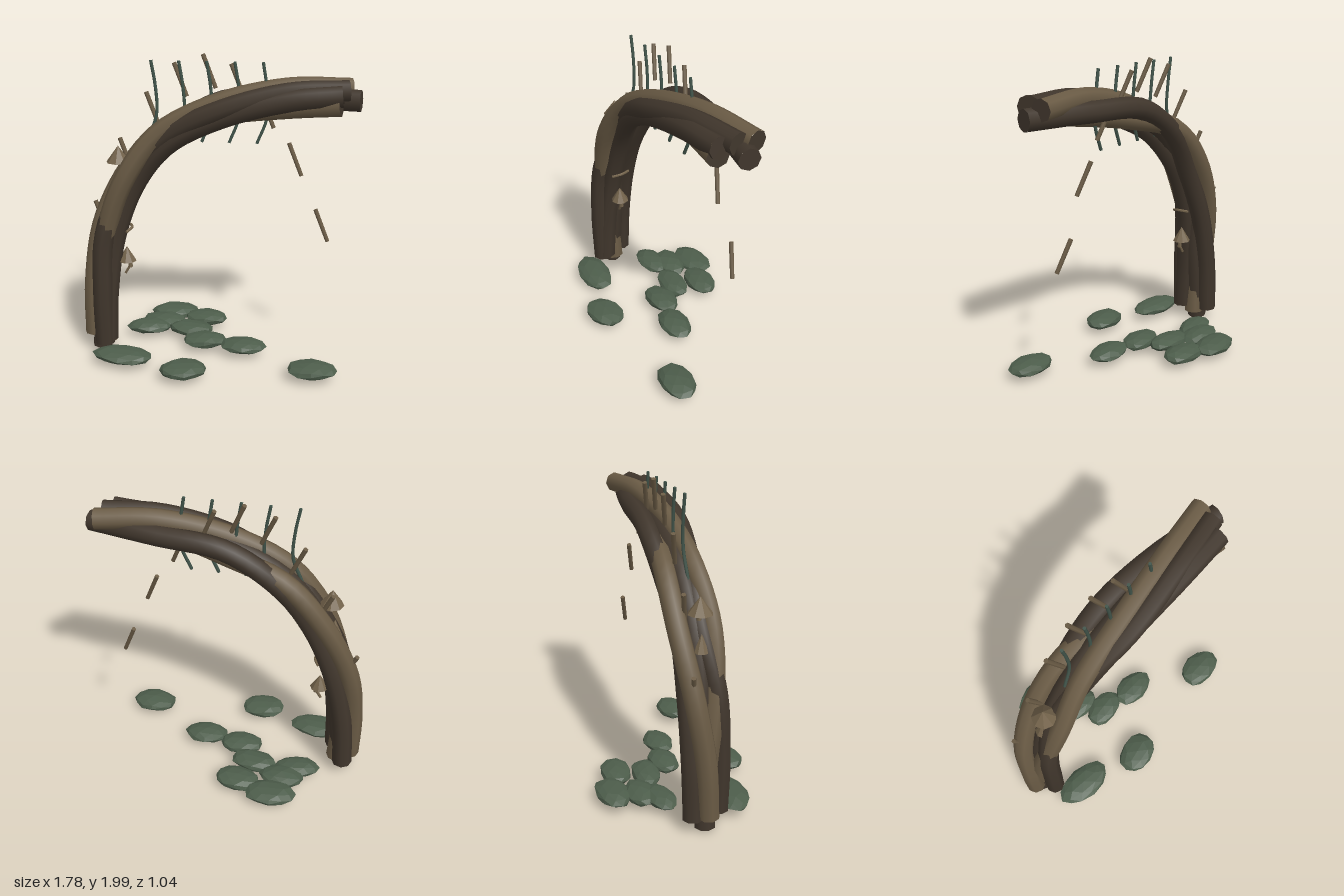
import * as THREE from 'three';

const V = (x, y, z) => new THREE.Vector3(x, y, z);

export function createModel() {
  const group = new THREE.Group();
  const mat = (name, color, flatShading = false) => {
    const m = new THREE.MeshStandardMaterial({ color, flatShading });
    m.name = name;
    return m;
  };
  const darkBark = mat('dark bark', 0x40362c);
  const lightBark = mat('light bark', 0x6a5b45);
  const stoneGreen = mat('mossy stone', 0x4d5d4b, true);
  const stemGreen = mat('stem green', 0x41544a);
  const tan = mat('mushroom tan', 0x73634b, true);

  const add = (geo, material, name, parent = group) => {
    const m = new THREE.Mesh(geo, material);
    m.name = name;
    parent.add(m);
    return m;
  };

  // Round rope through points, closed by a disc at each end
  const rope = (points, radius, sides, segments, material, name, tipMaterial = material) => {
    const part = new THREE.Group();
    part.name = name;
    const curve = new THREE.CatmullRomCurve3(points);
    add(new THREE.TubeGeometry(curve, segments, radius, sides), material, name + 'Body', part);
    for (const t of [0, 1]) {
      const cap = add(new THREE.CircleGeometry(radius, sides), t ? tipMaterial : material, name + 'End', part);
      const p = curve.getPoint(t);
      const dir = curve.getTangent(t).multiplyScalar(t ? 1 : -1);
      cap.position.copy(p);
      cap.lookAt(p.clone().add(dir));
    }
    group.add(part);
  };

  // Arch centre line, shared by all the twisted strands
  const centre = [
    [-0.76, 0.06], [-0.75, 0.45], [-0.695, 0.85], [-0.545, 1.22],
    [-0.315, 1.49], [0.03, 1.665], [0.45, 1.76], [0.83, 1.785],
  ].map(([x, y]) => V(x, y, 0));

  // out: distance towards the outside of the bend; z: depth; ends: trim along the line
  const strands = [
    { m: lightBark, ends: [0.05, -0.07],
      out: [0.06, 0.065, 0.065, 0.04, 0.025, -0.04, -0.06, -0.045],
      z: [0.04, 0.02, -0.04, -0.085, -0.08, -0.02, 0.08, 0.14] },
    { m: lightBark, ends: [0.0, 0.0],
      out: [-0.03, 0, 0, 0.015, 0.04, 0.045, 0.045, 0.015],
      z: [0.035, 0.05, 0.105, 0.13, 0.095, 0.06, 0.005, -0.055] },
    { m: darkBark, ends: [0.03, -0.02],
      out: [-0.035, -0.025, 0.005, 0.005, 0, 0.01, 0.03, 0.02],
      z: [0.135, 0.14, 0.12, 0.065, 0.09, 0.135, 0.1, 0.045] },
    { m: darkBark, ends: [0.03, 0.05],
      out: [0.02, 0, -0.035, -0.05, -0.015, 0.03, -0.025, -0.045],
      z: [-0.045, -0.05, -0.05, -0.045, -0.08, -0.09, -0.06, 0.025] },
    { m: darkBark, ends: [0.05, -0.06],
      out: [-0.05, -0.055, -0.06, -0.055, -0.045, -0.035, -0.01, 0.005],
      z: [0.11, 0.09, 0.06, 0.05, 0.09, 0.12, 0.14, 0.135] },
    // core
    { m: darkBark, ends: [-0.045, -0.05],
      out: [0.01, -0.03, -0.02, -0.01, 0, 0, -0.01, 0],
      z: [0.035, 0.03, 0.03, 0.025, 0.02, 0.02, 0.02, 0.03] },
  ];
  strands.forEach((s, k) => {
    const last = centre.length - 1;
    const points = centre.map((c, i) => {
      const t = centre[Math.min(i + 1, last)].clone().sub(centre[Math.max(i - 1, 0)]).normalize();
      const along = i === 0 ? s.ends[0] : i === last ? s.ends[1] : 0;
      return V(c.x - t.y * s.out[i] + t.x * along, c.y + t.x * s.out[i] + t.y * along, s.z[i]);
    });
    rope(points, 0.066, 8, 36, s.m, 'archStrand' + (k + 1), darkBark);
  });

  // Straight splinters, following a half circle
  const splinters = [
    [-0.76, 0.92], [-0.58, 1.35], [-0.4, 1.65], [-0.22, 1.835], [-0.04, 1.89],
    [0.135, 1.835], [0.32, 1.65], [0.5, 1.35], [0.68, 0.92],
  ];
  const tilt = V(-0.085, 0.2, -0.04).normalize();
  for (const [x, y] of splinters) {
    const s = add(new THREE.CylinderGeometry(0.015, 0.014, 0.22, 6), lightBark, 'splinter');
    s.position.set(x, y, -0.045);
    s.quaternion.setFromUnitVectors(V(0, 1, 0), tilt);
  }

  // Curved green stems through the top of the arch
  for (let i = 0; i < 5; i++) {
    const x = -0.39 + i * 0.171;
    rope([V(x, 1.96, 0.02), V(x + 0.025, 1.8, 0.02), V(x + 0.03, 1.63, 0.025), V(x - 0.03, 1.465, 0.035)],
      0.0105, 6, 12, stemGreen, 'stem');
  }

  // Cone mushrooms on the trunk: x, y of cap base, z, radius, height
  for (const [x, y, z, r, h] of [
    [-0.61, 1.32, 0.04, 0.077, 0.105],
    [-0.64, 1.1, 0.04, 0.05, 0.11],
    [-0.575, 0.65, 0.045, 0.06, 0.1],
  ]) {
    const cap = add(new THREE.ConeGeometry(r, h, 8), tan, 'mushroomCap');
    cap.position.set(x, y + h / 2, z);
    const foot = add(new THREE.CylinderGeometry(0.013, 0.015, 0.06, 6), tan, 'mushroomStalk');
    foot.position.set(x + 0.02, y - 0.015, z);
  }

  // Thin vines hanging on the inner side
  rope([V(-0.56, 0.87, 0.105), V(-0.535, 0.885, 0.045), V(-0.56, 0.88, -0.02)], 0.009, 6, 10, tan, 'vineLoop');
  rope([V(-0.575, 0.66, 0.045), V(-0.56, 0.62, 0.045), V(-0.59, 0.56, 0.045)], 0.009, 6, 10, tan, 'vineTail');

  // Flattened faceted stones: x, z, radius x, radius z, turn
  const stones = [
    [-0.34, -0.42, 0.17, 0.11, 0.1], [-0.105, -0.34, 0.153, 0.103, -0.05], [-0.395, -0.26, 0.153, 0.1, 0],
    [-0.48, -0.155, 0.155, 0.092, 0.15], [-0.185, -0.155, 0.16, 0.095, -0.1], [-0.07, 0, 0.15, 0.1, 0.1],
    [0.195, 0.05, 0.153, 0.1, 0], [-0.575, 0.28, 0.2, 0.11, -0.1], [-0.15, 0.41, 0.155, 0.115, 0.2],
    [0.655, 0.31, 0.16, 0.112, 0],
  ];
  stones.forEach(([x, z, rx, rz, turn], k) => {
    const geo = new THREE.IcosahedronGeometry(1, 1);
    const p = geo.attributes.position;
    // Uneven surface, by a rule of the position so corners stay joined
    for (let i = 0; i < p.count; i++) {
      const v = V(0, 0, 0).fromBufferAttribute(p, i);
      const f = 0.99 + 0.05 * Math.sin(v.x * 4 + v.y * 5 + v.z * 3 + k * 1.7);
      p.setXYZ(i, v.x * f * rx, v.y * f * 0.045, v.z * f * rz);
    }
    geo.computeVertexNormals();
    const stone = add(geo, stoneGreen, 'stone');
    stone.position.set(x, 0.078, z);
    stone.rotation.y = turn;
  });

  return group;
}
